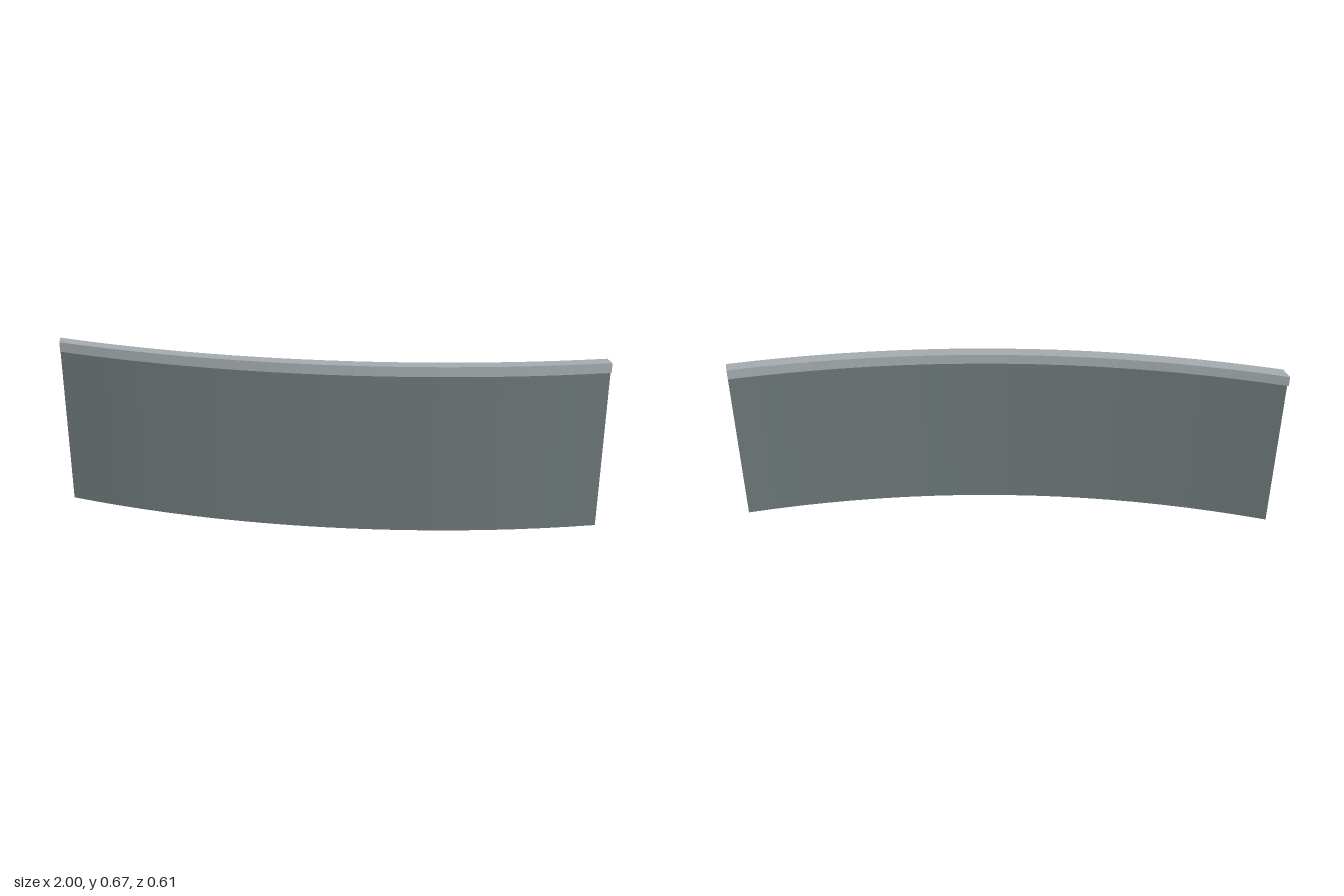
import * as THREE from 'three';

const RADIUS = 3.889;              // centreline radius of the curved wall
const CENTRE_Z = 0.279 - RADIUS;   // arc centre lies at x = 1
const SEGMENTS = 20;

// Points along a concentric arc, trimmed square at x = 1 and x = -1
function arcPoints(radius) {
  const sweep = Math.asin(2 / radius);
  return Array.from({ length: SEGMENTS + 1 }, (_, i) => {
    const a = (sweep * i) / SEGMENTS;
    return new THREE.Vector2(1 - radius * Math.sin(a), -(CENTRE_Z + radius * Math.cos(a)));
  });
}

// Curved strip of the given thickness, standing between two heights
function curvedStrip(name, thickness, bottom, top, material) {
  const outer = arcPoints(RADIUS + thickness / 2);
  const inner = arcPoints(RADIUS - thickness / 2).reverse();
  const geometry = new THREE.ExtrudeGeometry(new THREE.Shape([...outer, ...inner]), {
    depth: top - bottom,
    bevelEnabled: false,
  });
  geometry.rotateX(-Math.PI / 2);
  geometry.translate(0, bottom, 0);
  const mesh = new THREE.Mesh(geometry, material);
  mesh.name = name;
  return mesh;
}

export function createModel() {
  const wallGrey = new THREE.MeshStandardMaterial({ color: 0x6c7678 });
  wallGrey.name = 'wall grey';
  const capGrey = new THREE.MeshStandardMaterial({ color: 0xa4abae });
  capGrey.name = 'cap light grey';

  const group = new THREE.Group();
  group.name = 'curvedWall';
  group.add(
    curvedStrip('wallPanel', 0.03, 0, 0.627, wallGrey),
    curvedStrip('topCap', 0.05, 0.627, 0.665, capGrey),
  );
  return group;
}
